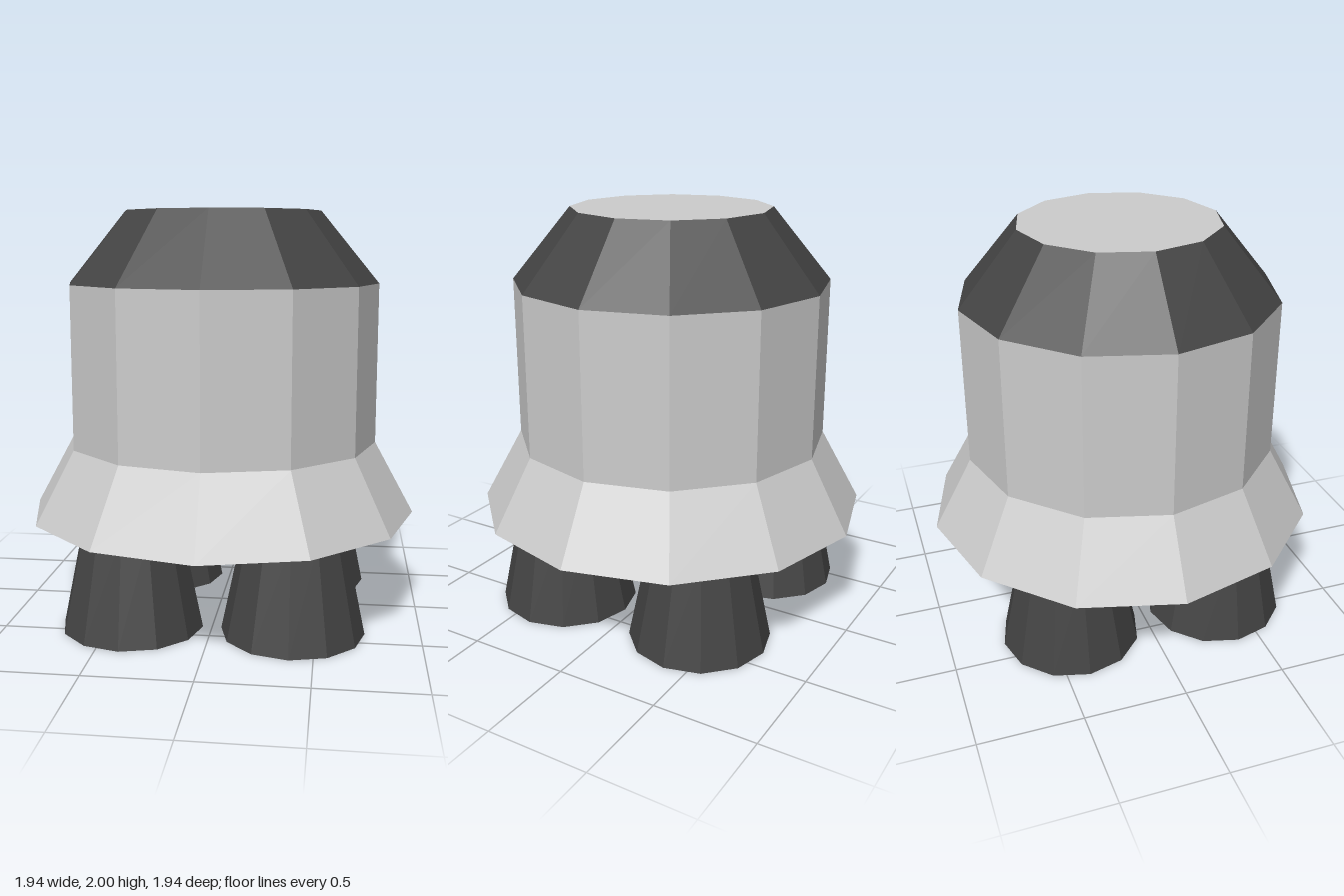
import * as THREE from 'three';

const SIDES = 12;
const grey = new THREE.MeshStandardMaterial({ color: 0xcccccc, flatShading: true });
const dark = new THREE.MeshStandardMaterial({ color: 0x444444, flatShading: true });

// Faceted ring between two heights, open at both ends unless closed
function frustum(name, rTop, rBottom, yBottom, yTop, material, open = true) {
  const geometry = new THREE.CylinderGeometry(rTop, rBottom, yTop - yBottom, SIDES, 1, open);
  const mesh = new THREE.Mesh(geometry, material);
  mesh.name = name;
  mesh.position.y = (yTop + yBottom) / 2;
  return mesh;
}

// Flat end disc, with corners matching the rings
function disc(name, radius, y, up) {
  const geometry = new THREE.CircleGeometry(radius, SIDES).rotateX(up ? -Math.PI / 2 : Math.PI / 2);
  const mesh = new THREE.Mesh(geometry, grey);
  mesh.name = name;
  mesh.position.y = y;
  return mesh;
}

export function createModel() {
  const model = new THREE.Group();
  model.name = 'rocketEngine';

  // Body: flared skirt, straight barrel, dark tapered shoulder, flat ends
  model.add(
    disc('skirtBase', 0.97, 0.505, false),
    frustum('skirt', 0.775, 0.97, 0.505, 0.86, grey),
    frustum('barrel', 0.775, 0.775, 0.86, 1.65, grey),
    frustum('shoulder', 0.487, 0.775, 1.65, 2, dark),
    disc('topPlate', 0.487, 2, true)
  );

  // Four closed nozzles under the skirt
  for (const [side, x] of [['Left', 0.39], ['Right', -0.39]]) {
    for (const [end, z] of [['front', 0.39], ['back', -0.39]]) {
      const nozzle = frustum(`${end}${side}Nozzle`, 0.24, 0.345, 0, 0.505, dark, false);
      nozzle.position.x = x;
      nozzle.position.z = z;
      model.add(nozzle);
    }
  }
  return model;
}
